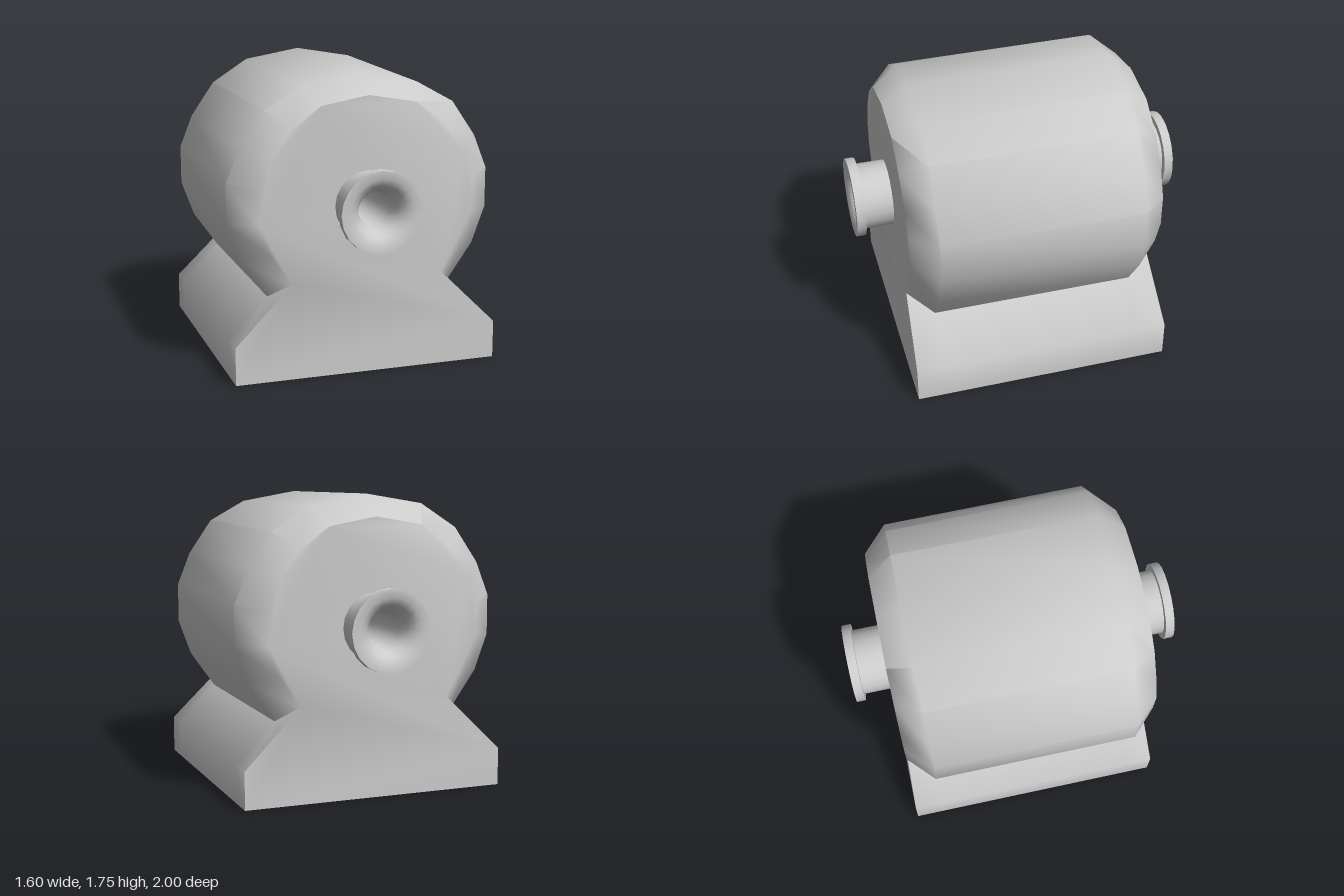
import * as THREE from 'three';
import { mergeGeometries, toCreasedNormals } from 'three/addons/utils/BufferGeometryUtils.js';

const material = new THREE.MeshStandardMaterial({ color: 0xcccccc });
const AXIS_Y = 1, END_SCALE = 0.81;

// right half of the outline, from the base corner up to just before the crown
const HALF = [
  [0.8, 0], [0.8, 0.225], [0.565, 0.46], [0.72, 0.68], [0.8, 0.9],
  [0.8, 1.14], [0.72, 1.34], [0.575, 1.55], [0.35, 1.695],
];
const OUTLINE = [...HALF, [0, 1.755], ...HALF.slice().reverse().map(([x, y]) => [-x, y])];

// end faces stand slightly proud at the base
const endDepth = (y) => (y < 0.3 ? 0.79 : 0.77);

// the drum shrinks at its ends, the base keeps its full width
const endRing = OUTLINE.map(([x, y]) =>
  y < 0.3 ? [x, y] : [x * END_SCALE, AXIS_Y + (y - AXIS_Y) * (y > 1.6 ? 0.835 : END_SCALE)]);

function wallGeometry() {
  const lowered = OUTLINE.map(([x, y]) => [x, y > 1.6 ? y - 0.022 : y]);
  const rings = [
    endRing.map(([x, y]) => [x, y, -endDepth(y)]),
    OUTLINE.map(([x, y]) => [x, y, -0.62]),
    lowered.map(([x, y]) => [x, y, 0.62]),
    endRing.map(([x, y]) => [x, y, endDepth(y)]),
  ];
  const positions = [];
  const n = OUTLINE.length;
  for (let k = 0; k < rings.length - 1; k++) {
    for (let i = 0; i < n; i++) {
      const j = (i + 1) % n;
      const a = rings[k][i], b = rings[k][j], c = rings[k + 1][j], d = rings[k + 1][i];
      positions.push(...a, ...b, ...c, ...a, ...c, ...d);
    }
  }
  const geometry = new THREE.BufferGeometry();
  geometry.setAttribute('position', new THREE.Float32BufferAttribute(positions, 3));
  return geometry;
}

// end face with an opening for the pipe
function capGeometry() {
  const shape = new THREE.Shape(endRing.map(([x, y]) => new THREE.Vector2(x, y)));
  shape.holes.push(new THREE.Path().absarc(0, AXIS_Y, 0.19, 0, Math.PI * 2, true));
  const geometry = new THREE.ShapeGeometry(shape, 10).toNonIndexed();
  geometry.deleteAttribute('uv');
  geometry.deleteAttribute('normal');
  const p = geometry.attributes.position;
  for (let i = 0; i < p.count; i++) p.setZ(i, endDepth(p.getY(i)));
  return geometry;
}

// pipe stub, flange, flared mouth and half of the through bore
function pipeGeometry() {
  const profile = [
    [0.2, 0.75], [0.2, 0.945], [0.24, 0.945], [0.24, 1], [0.19, 1],
    [0.15, 0.975], [0.12, 0.935], [0.1, 0.87], [0.1, 0],
  ].map(([r, z]) => new THREE.Vector2(r, z));
  const geometry = new THREE.LatheGeometry(profile, 20).rotateX(Math.PI / 2);
  return toCreasedNormals(geometry, 0.85);
}

export function createModel() {
  const group = new THREE.Group();
  group.name = 'drumHousing';

  // drum and splayed base in one skin
  const cap = capGeometry();
  const skin = mergeGeometries([wallGeometry(), cap, cap.clone().rotateY(Math.PI)]);
  const body = new THREE.Mesh(toCreasedNormals(skin, 0.85), material);
  body.name = 'drumAndBase';
  group.add(body);

  // one flanged pipe at each end
  const pipe = pipeGeometry();
  for (const [name, turn] of [['frontPipe', 0], ['backPipe', Math.PI]]) {
    const mesh = new THREE.Mesh(pipe, material);
    mesh.name = name;
    mesh.position.y = AXIS_Y;
    mesh.rotation.y = turn;
    group.add(mesh);
  }
  return group;
}
